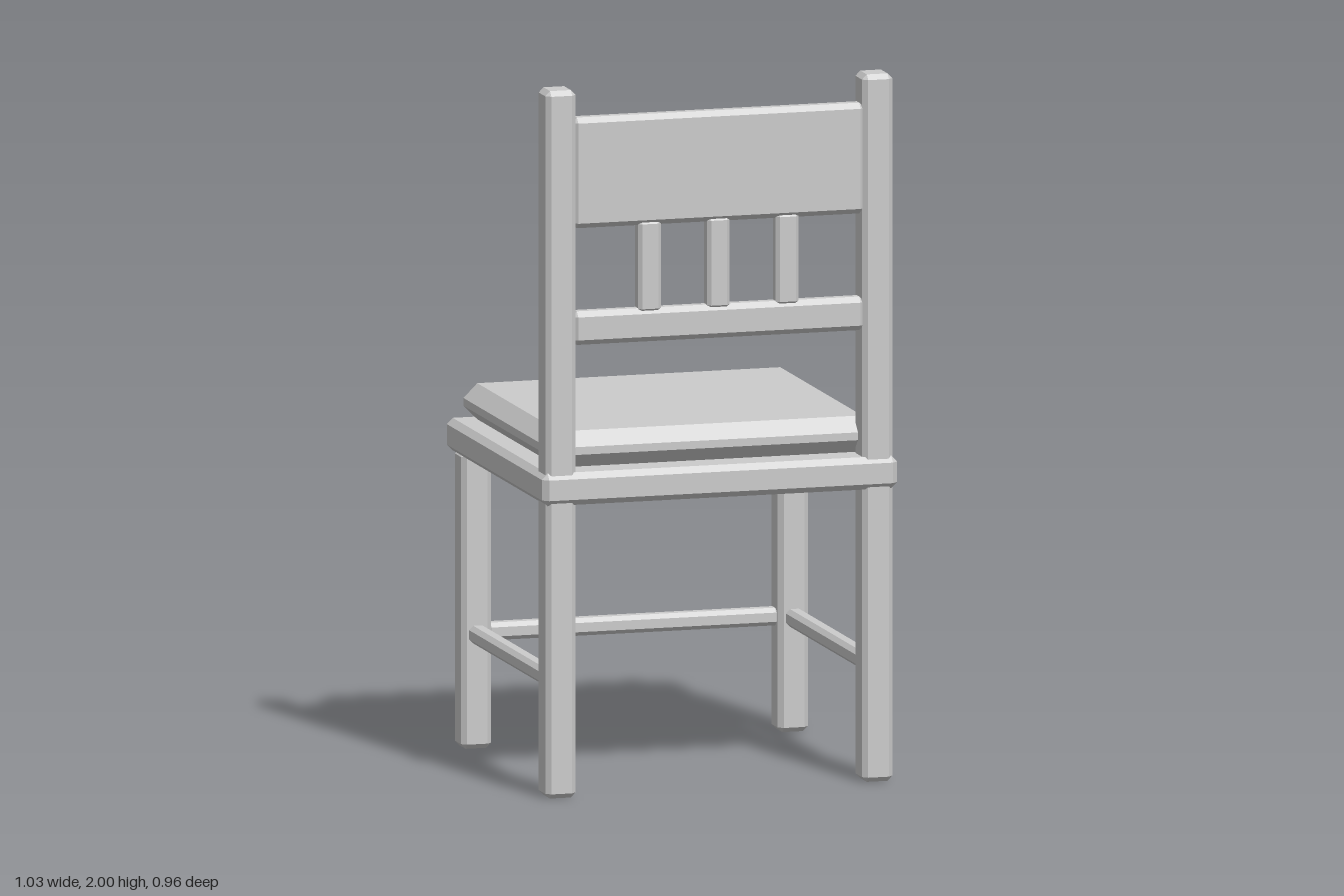
import * as THREE from 'three';
import { ConvexGeometry } from 'three/addons/geometries/ConvexGeometry.js';

const material = new THREE.MeshStandardMaterial({ color: 0xcccccc, flatShading: true });

// Box with all edges chamfered by c, given by its [min, max] range on each axis.
function chamferBox(name, x, y, z, c) {
  const half = [x, y, z].map(([a, b]) => (b - a) / 2);
  const points = [];
  for (const sx of [-1, 1]) for (const sy of [-1, 1]) for (const sz of [-1, 1]) {
    for (let axis = 0; axis < 3; axis++) {
      const p = [sx, sy, sz].map((s, i) => s * (half[i] - (i === axis ? 0 : c)));
      points.push(new THREE.Vector3(...p));
    }
  }
  const mesh = new THREE.Mesh(new ConvexGeometry(points), material);
  mesh.name = name;
  mesh.position.set((x[0] + x[1]) / 2, (y[0] + y[1]) / 2, (z[0] + z[1]) / 2);
  return mesh;
}

export function createModel() {
  const chair = new THREE.Group();
  chair.name = 'chair';
  const add = (...args) => chair.add(chamferBox(...args));

  // Seat board and cushion
  add('seat', [-0.516, 0.516], [0.828, 0.92], [-0.478, 0.478], 0.017);
  add('cushion', [-0.48, 0.48], [0.92, 1.022], [-0.46, 0.415], 0.04);

  // Tall back posts, short legs and side stretchers, mirrored
  for (const s of [-1, 1]) {
    const side = s > 0 ? 'left' : 'right';
    const range = (a, b) => (s > 0 ? [a, b] : [-b, -a]);
    add(side + 'BackPost', range(0.416, 0.504), [0, 2], [0.376, 0.468], 0.014);
    add(side + 'FrontLeg', range(0.416, 0.504), [0, 0.84], [-0.438, -0.352], 0.014);
    add(side + 'Stretcher', range(0.435, 0.485), [0.3, 0.35], [-0.36, 0.385], 0.012);
  }
  add('frontStretcher', [-0.425, 0.425], [0.3, 0.35], [-0.42, -0.37], 0.012);

  // Backrest: wide top panel, lower rail and three spindles
  add('backPanel', [-0.425, 0.425], [1.607, 1.92], [0.408, 0.462], 0.015);
  add('backRail', [-0.425, 0.425], [1.277, 1.372], [0.408, 0.462], 0.015);
  for (const x of [-0.2, 0, 0.2]) {
    add('backSpindle', [x - 0.033, x + 0.033], [1.36, 1.62], [0.411, 0.459], 0.01);
  }
  return chair;
}
